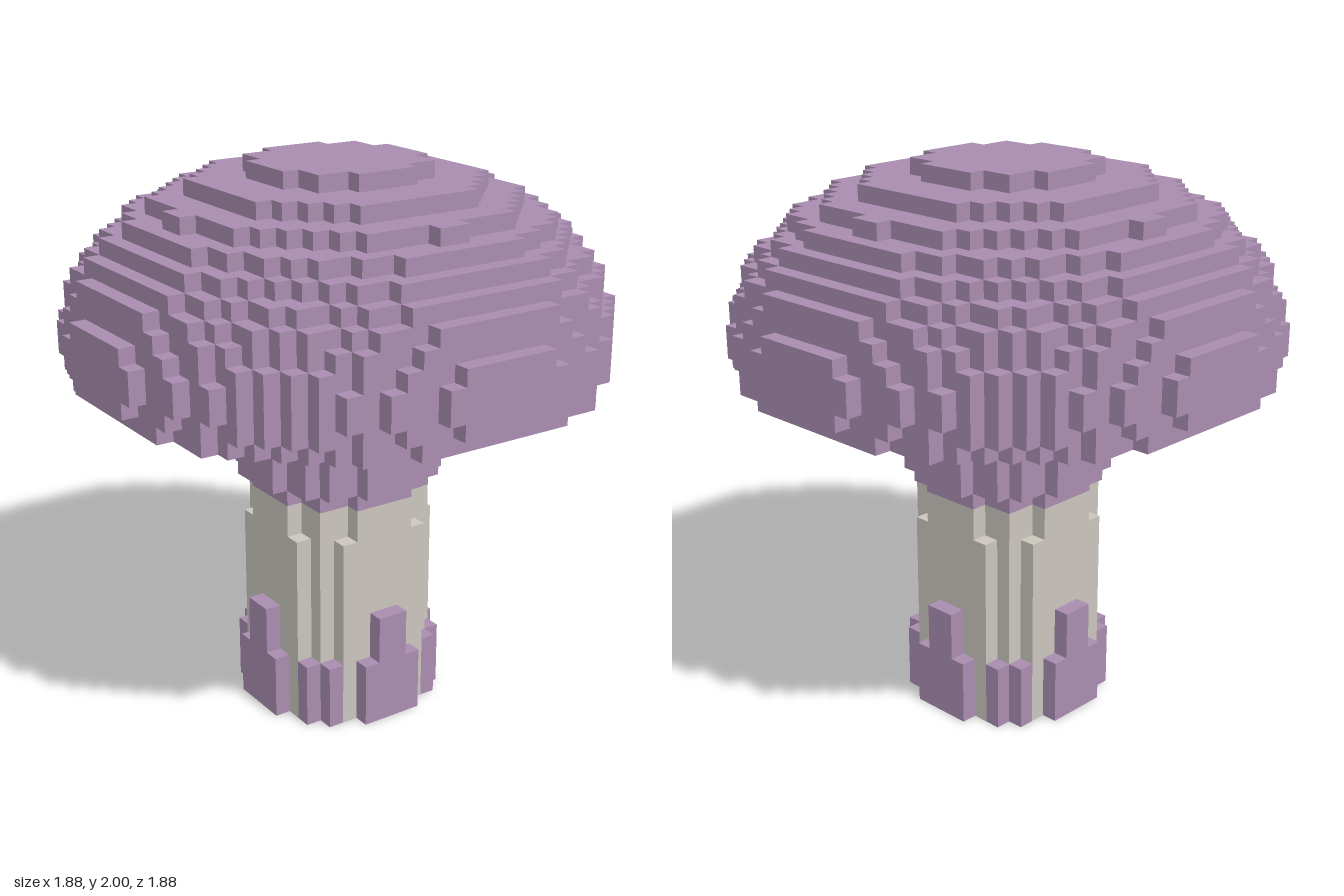
import * as THREE from 'three';

const UNIT = 2 / 34; // edge of one block

// Stepped outline of a disc made of square blocks, one quadrant turned four times
function blockDisc(r2) {
  const half = (row) => {
    let n = 0;
    while ((n + 0.5) ** 2 + (row + 0.5) ** 2 < r2) n++;
    return n;
  };
  const corners = [];
  for (let row = 0; half(row) > 0; row++) {
    const here = half(row), next = half(row + 1);
    if (next === here) continue;
    corners.push([here, row + 1]);
    if (next > 0) corners.push([next, row + 1]);
  }
  const points = [];
  for (let q = 0; q < 4; q++) {
    for (const [x, y] of corners) {
      points.push(new THREE.Vector2(...[[x, y], [-y, x], [-x, -y], [y, -x]][q]));
    }
  }
  return new THREE.Shape(points);
}

// Block disc standing between two heights
function slab(name, r2, y0, y1, material) {
  const geometry = new THREE.ExtrudeGeometry(blockDisc(r2), { depth: y1 - y0, bevelEnabled: false });
  geometry.rotateX(-Math.PI / 2).translate(0, y0, 0);
  const mesh = new THREE.Mesh(geometry, material);
  mesh.name = name;
  return mesh;
}

function box(name, w, h, d, x, y, z, material) {
  const mesh = new THREE.Mesh(new THREE.BoxGeometry(w, h, d), material);
  mesh.position.set(x, y, z);
  mesh.name = name;
  return mesh;
}

export function createModel() {
  const purple = new THREE.MeshStandardMaterial({ color: 0xa88cb0 });
  purple.name = 'mushroom purple';
  const cream = new THREE.MeshStandardMaterial({ color: 0xcac6be });
  cream.name = 'stem cream';

  const model = new THREE.Group();
  model.name = 'mushroom';

  // Cap: layers of a flattened ball, cut off flat below
  const cap = new THREE.Group();
  cap.name = 'cap';
  const radius = 16, rise = 10, middle = 24;
  for (let y = 21; y < 34; y++) {
    const d = (y + 0.5 - middle) / rise;
    cap.add(slab('capLayer', radius ** 2 * (1 - d * d), y, y + 1, purple));
  }
  model.add(cap);

  // Stem with a slightly narrower top, then the purple collar under the cap
  model.add(slab('stem', 28, 0, 12, cream));
  model.add(slab('stemTop', 25, 12, 14, cream));
  model.add(slab('collarNeck', 25, 14, 15, purple));
  model.add(slab('collar', 36, 15, 21, purple));

  // Foot: a stepped pad on each side and two small blocks at each corner
  for (let q = 0; q < 4; q++) {
    const foot = new THREE.Group();
    foot.name = 'foot';
    foot.add(box('footPad', 4, 4, 1, 0, 2, 5.5, purple));
    foot.add(box('footPadTip', 2, 3, 1, 0, 5.5, 5.5, purple));
    foot.add(box('footCorner', 1, 4, 1, 3.5, 2, 4.5, purple));
    foot.add(box('footCorner', 1, 4, 1, 4.5, 2, 3.5, purple));
    foot.rotation.y = q * Math.PI / 2;
    model.add(foot);
  }

  model.scale.setScalar(UNIT);
  return model;
}
